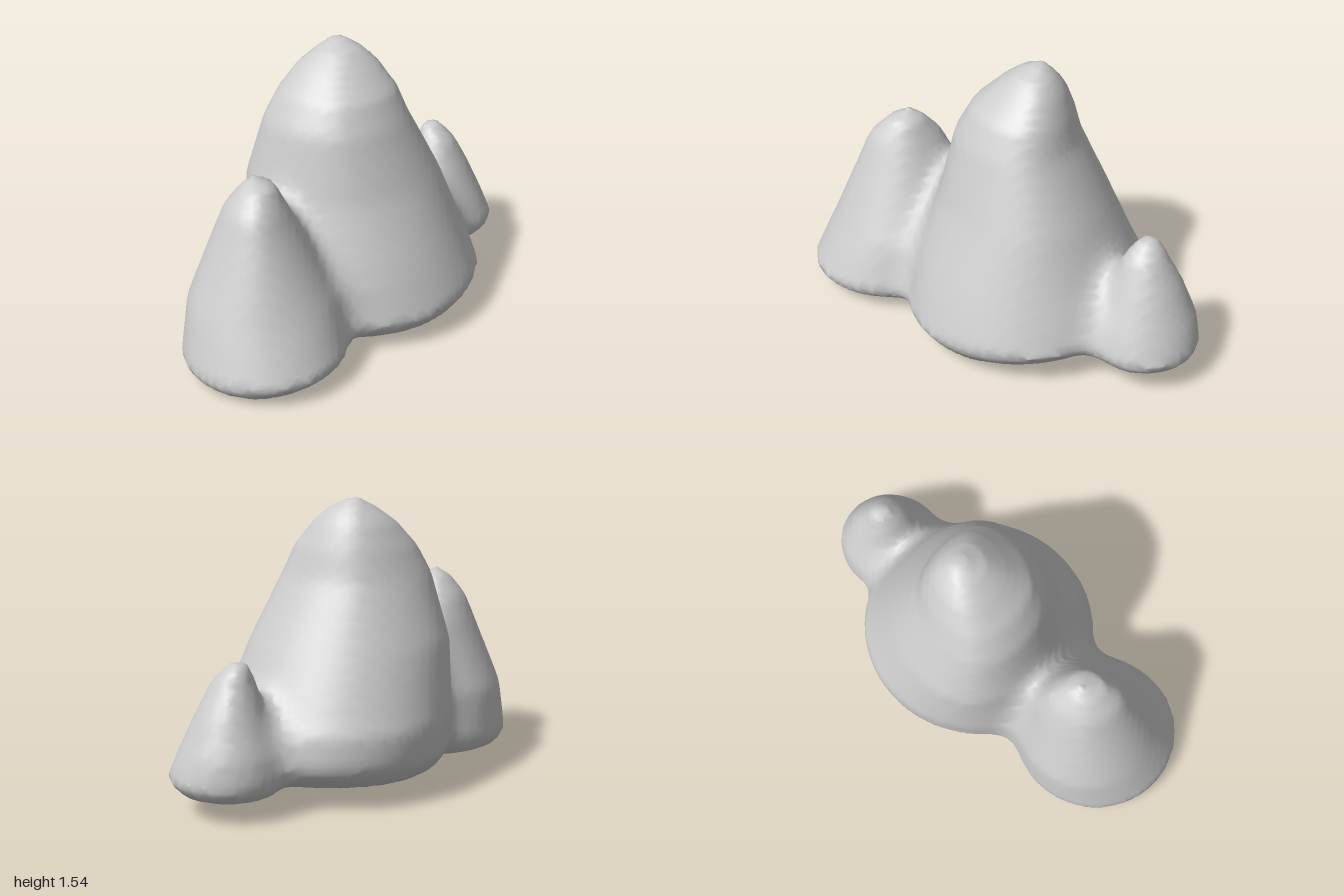
import * as THREE from 'three';

const { lerp, clamp } = THREE.MathUtils;
const STEP = 0.04;
const ORIGIN = [-1.02, -0.1, -1.1];
const SIZE = [52, 45, 56];
const BLEND = 0.17;

// Each level is [y, left x, right x, back z, front z], from the widest one up to the peak.
const mainPeak = {
  tilt: [0.03, -0.08], drop: 0.14,
  levels: [
    [0.21, -0.54, 0.75, -0.81, 0.51],
    [0.4, -0.56, 0.68, -0.8, 0.46],
    [0.8, -0.54, 0.52, -0.62, 0.31],
    [1.15, -0.44, 0.345, -0.46, 0.22],
    [1.3, -0.36, 0.28, -0.42, 0.14],
    [1.43, -0.25, 0.18, -0.37, 0],
    [1.52, -0.13, 0.08, -0.3, -0.11],
    [1.56, -0.04, -0.04, -0.24, -0.24],
  ],
};
const frontPeak = {
  tilt: [0.05, 0], drop: 0.1,
  levels: [
    [0.13, -0.91, -0.02, 0.08, 1.0],
    [0.4, -0.87, -0.09, 0.09, 0.87],
    [0.8, -0.71, -0.28, 0.19, 0.7],
    [0.92, -0.66, -0.34, 0.24, 0.65],
    [1.02, -0.58, -0.39, 0.33, 0.55],
    [1.07, -0.5, -0.5, 0.42, 0.42],
  ],
};
const backPeak = {
  tilt: [0.03, 0], drop: 0.08,
  levels: [
    [0.2, 0.31, 0.91, -1.0, -0.4],
    [0.35, 0.34, 0.85, -0.98, -0.44],
    [0.55, 0.42, 0.76, -0.9, -0.52],
    [0.7, 0.46, 0.68, -0.82, -0.58],
    [0.77, 0.48, 0.62, -0.79, -0.64],
    [0.81, 0.55, 0.55, -0.72, -0.72],
  ],
};

// Cross-sections of a mound as [y, centre x, centre z, radius x, radius z], with a rounded underside.
function sectionsOf({ levels, drop }) {
  const sections = levels.map(([y, x0, x1, z0, z1]) => [
    y, (x0 + x1) / 2, (z0 + z1) / 2, Math.max((x1 - x0) / 2, 0.01), Math.max((z1 - z0) / 2, 0.01),
  ]);
  const [y, x, z, rx, rz] = sections[0];
  const underside = [[0.72, 1], [0.89, 0.67]].map(([s, depth]) => [y - drop * depth, x, z, rx * s, rz * s]);
  return [...underside, ...sections];
}

// Signed distance to one mound, negative inside. Sections turn squarer-cut towards the peak.
function moundField(mound) {
  const sections = sectionsOf(mound);
  const [bottom, baseX, baseZ] = sections[0];
  const top = sections.at(-1)[0];
  return (x, height, z) => {
    const fade = clamp(1 - (height - 0.1) / 0.4, 0, 1);
    const y = height - fade * (mound.tilt[0] * (x - baseX) + mound.tilt[1] * (z - baseZ));
    let i = 0;
    while (i < sections.length - 2 && sections[i + 1][0] < y) i++;
    const a = sections[i], b = sections[i + 1];
    const t = clamp((y - a[0]) / (b[0] - a[0]), 0, 1);
    const rx = lerp(a[3], b[3], t), rz = lerp(a[4], b[4], t);
    const u = Math.abs(x - lerp(a[1], b[1], t)) / rx;
    const v = Math.abs(z - lerp(a[2], b[2], t)) / rz;
    const power = lerp(2, 1.6, clamp((y - 0.3) / (top - 0.3), 0, 1));
    const side = ((u ** power + v ** power) ** (1 / power) - 1) * (rx + rz) / 2;
    return Math.max(side + Math.max(0, y - top), bottom - y);
  };
}

// Union with a soft crease where two mounds meet.
function softUnion(a, b) {
  const h = Math.max(BLEND - Math.abs(a - b), 0) / BLEND;
  return Math.min(a, b) - h * h * BLEND / 4;
}

// Skin a field with one vertex per crossed grid cell and one quad per crossed grid edge.
function skinField(field) {
  const stride = [1, SIZE[0], SIZE[0] * SIZE[1]];
  const count = SIZE[0] * SIZE[1] * SIZE[2];
  const cornerOf = (n) => [n % SIZE[0], Math.floor(n / stride[1]) % SIZE[1], Math.floor(n / stride[2])];
  const values = new Float32Array(count);
  for (let n = 0; n < count; n++) {
    values[n] = field(...cornerOf(n).map((c, axis) => ORIGIN[axis] + c * STEP));
  }

  const positions = [], indices = [];
  const vertexOf = new Map();
  for (let n = 0; n < count; n++) {
    const corner = cornerOf(n);
    if (corner.some((c, axis) => c >= SIZE[axis] - 1)) continue;
    const sum = [0, 0, 0];
    let crossings = 0;
    for (let axis = 0; axis < 3; axis++) {
      const b = (axis + 1) % 3, c = (axis + 2) % 3;
      for (let k = 0; k < 4; k++) {
        const ob = k & 1, oc = k >> 1;
        const start = n + ob * stride[b] + oc * stride[c];
        const v0 = values[start], v1 = values[start + stride[axis]];
        if (v0 < 0 === v1 < 0) continue;
        sum[axis] += v0 / (v0 - v1);
        sum[b] += ob;
        sum[c] += oc;
        crossings++;
      }
    }
    if (crossings === 0) continue;
    vertexOf.set(n, positions.length / 3);
    positions.push(...sum.map((s, axis) => ORIGIN[axis] + (corner[axis] + s / crossings) * STEP));
  }

  for (const n of vertexOf.keys()) {
    for (let axis = 0; axis < 3; axis++) {
      const inside = values[n] < 0;
      if (inside === values[n + stride[axis]] < 0) continue;
      const b = stride[(axis + 1) % 3], c = stride[(axis + 2) % 3];
      const quad = [n, n - b, n - b - c, n - c].map((cell) => vertexOf.get(cell));
      if (!inside) quad.reverse();
      indices.push(quad[0], quad[1], quad[2], quad[0], quad[2], quad[3]);
    }
  }

  const geometry = new THREE.BufferGeometry();
  geometry.setAttribute('position', new THREE.Float32BufferAttribute(positions, 3));
  geometry.setIndex(indices);
  geometry.computeVertexNormals();
  return geometry;
}

export function createModel() {
  const group = new THREE.Group();
  group.name = 'rockFormation';
  const fields = [mainPeak, frontPeak, backPeak].map(moundField);
  const rock = new THREE.Mesh(
    skinField((x, y, z) => fields.map((f) => f(x, y, z)).reduce(softUnion)),
    new THREE.MeshStandardMaterial({ color: 0xcccccc }),
  );
  rock.name = 'rockPeaks';
  group.add(rock);
  return group;
}
